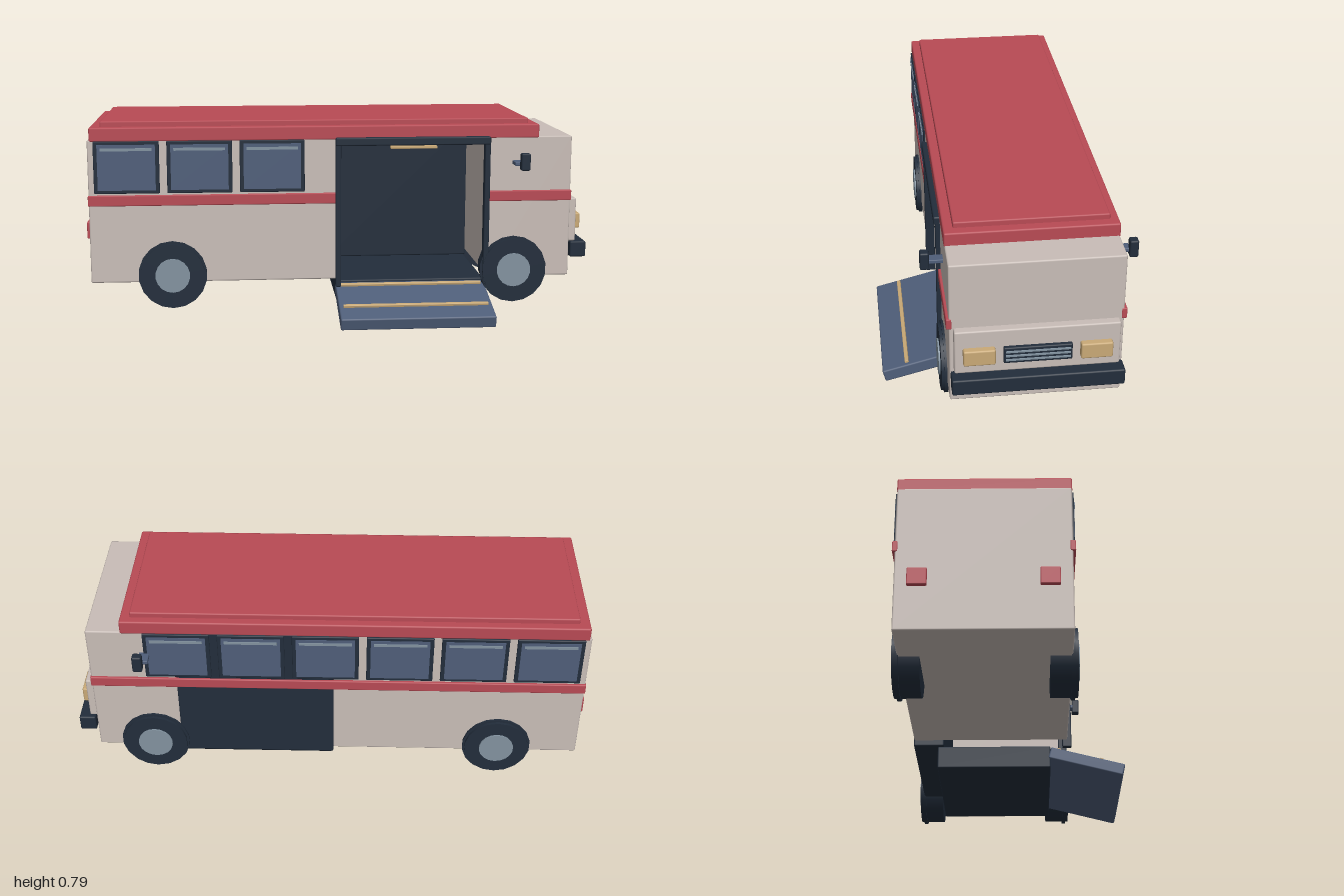
import * as THREE from 'three';
import { RoundedBoxGeometry } from 'three/addons/geometries/RoundedBoxGeometry.js';

const mat = (name, color) => {
  const m = new THREE.MeshStandardMaterial({ color });
  m.name = name;
  return m;
};

export function createModel() {
  const cream = mat('cream', 0xc8bdb7);
  const red = mat('red', 0xb84a54);
  const dark = mat('dark navy', 0x222d3b);
  const blue = mat('slate blue', 0x4f5e79);
  const steel = mat('steel', 0x82929f);
  const amber = mat('amber', 0xc9a976);

  const bus = new THREE.Group();
  bus.name = 'bus';
  const midZ = -0.075; // centre plane of the body
  const flip = (z) => 2 * midZ - z;

  // Box given by its extents, with a small bevel when thick enough
  function box(name, m, x0, x1, y0, y1, z0, z1, parent = bus) {
    const w = x1 - x0, h = y1 - y0, d = Math.abs(z1 - z0);
    const r = Math.min(0.006, Math.min(w, h, d) * 0.2);
    const g = r > 0.002 ? new RoundedBoxGeometry(w, h, d, 1, r) : new THREE.BoxGeometry(w, h, d);
    const mesh = new THREE.Mesh(g, m);
    mesh.name = name;
    mesh.position.set((x0 + x1) / 2, (y0 + y1) / 2, (z0 + z1) / 2);
    parent.add(mesh);
    return mesh;
  }

  // Body: rear and front sections around the entrance bay
  box('rearBody', cream, -0.98, -0.01, 0.16, 0.727, -0.385, 0.235);
  box('frontBody', cream, 0.595, 0.928, 0.16, 0.727, -0.385, 0.235);
  box('bayBackWall', dark, -0.012, 0.597, 0.138, 0.727, -0.387, -0.265);
  box('bayFloor', dark, -0.005, 0.595, 0.045, 0.137, -0.29, 0.167);

  // Roof
  box('roof', red, -0.972, 0.795, 0.72, 0.775, -0.387, 0.237);
  box('roofCap', red, -0.932, 0.757, 0.77, 0.796, -0.355, 0.202);

  // Side stripes
  box('rearStripe', red, -0.982, -0.01, 0.468, 0.51, 0.225, 0.245);
  box('frontStripe', red, 0.595, 0.93, 0.468, 0.51, 0.225, 0.245);
  box('farStripe', red, -0.982, 0.93, 0.468, 0.51, -0.395, -0.375);

  // Door frame
  for (const x of [-0.016, 0.577]) box('doorPost', dark, x, x + 0.022, 0.13, 0.727, 0.215, 0.252);
  box('doorHeader', dark, -0.016, 0.599, 0.697, 0.729, 0.215, 0.258);
  box('headerLight', amber, 0.2, 0.385, 0.684, 0.695, 0.235, 0.256);

  // Sloping ramp with grip strips, tilted about its upper edge
  const ramp = new THREE.Group();
  ramp.name = 'ramp';
  ramp.position.set(0, 0.131, 0.17);
  ramp.rotation.x = 0.25;
  box('rampPlate', blue, -0.012, 0.594, -0.049, 0, 0, 0.307, ramp);
  for (const z of [0.025, 0.2]) box('gripStrip', amber, 0.005, 0.578, -0.002, 0.009, z, z + 0.015, ramp);
  bus.add(ramp);

  // Windows: three on the entrance side, six on the far side
  function sideWindow(x, s) {
    const z = (v) => midZ + s * v;
    box('windowFrame', dark, x - 0.127, x + 0.127, 0.517, 0.722, z(0.3), z(0.317));
    box('windowGlass', blue, x - 0.112, x + 0.112, 0.53, 0.709, z(0.315), z(0.319));
    box('windowGlint', steel, x - 0.1, x + 0.1, 0.685, 0.696, z(0.317), z(0.322));
  }
  for (let i = 0; i < 6; i++) {
    const x = -0.83 + i * 0.283;
    sideWindow(x, -1);
    if (i < 3) sideWindow(x, 1);
  }

  // Wheels: arch disc, tyre and hub
  function cylinder(name, m, r, z0, z1, sides, parent) {
    const g = new THREE.CylinderGeometry(r, r, z1 - z0, sides).rotateX(Math.PI / 2);
    const mesh = new THREE.Mesh(g, m);
    mesh.name = name;
    mesh.position.z = (z0 + z1) / 2;
    parent.add(mesh);
  }
  for (const x of [-0.66, 0.7]) {
    for (const side of [1, -1]) {
      const wheel = new THREE.Group();
      wheel.name = 'wheel';
      wheel.position.set(x, 0.19, midZ);
      if (side < 0) wheel.rotation.y = Math.PI;
      cylinder('wheelArch', dark, 0.135, 0.305, 0.319, 18, wheel);
      cylinder('tyre', dark, 0.126, 0.23, 0.33, 18, wheel);
      cylinder('hub', steel, 0.068, 0.32, 0.336, 18, wheel);
      bus.add(wheel);
    }
  }

  // Front face
  box('nosePanel', cream, 0.915, 0.958, 0.297, 0.472, -0.37, 0.22);
  box('bumper', dark, 0.935, 1.0, 0.233, 0.296, -0.385, 0.232);
  for (const z of [0.133, flip(0.133)])
    box('headlight', amber, 0.95, 0.983, 0.343, 0.405, z - 0.057, z + 0.057);
  box('grille', dark, 0.95, 0.973, 0.339, 0.404, -0.197, 0.047);
  for (const y of [0.355, 0.372, 0.389])
    box('grilleBar', steel, 0.97, 0.978, y - 0.003, y + 0.003, -0.19, 0.04);

  // Mirrors on both sides
  for (const s of [1, -1]) {
    const z = (v) => midZ + s * v;
    box('mirrorArm', blue, 0.69, 0.73, 0.616, 0.631, z(0.305), z(0.365));
    box('mirror', dark, 0.708, 0.745, 0.6, 0.668, z(0.361), z(0.394));
  }

  // Tail lights
  for (const z of [0.155, flip(0.155)])
    box('tailLight', red, -0.995, -0.975, 0.33, 0.396, z - 0.035, z + 0.035);

  return bus;
}
